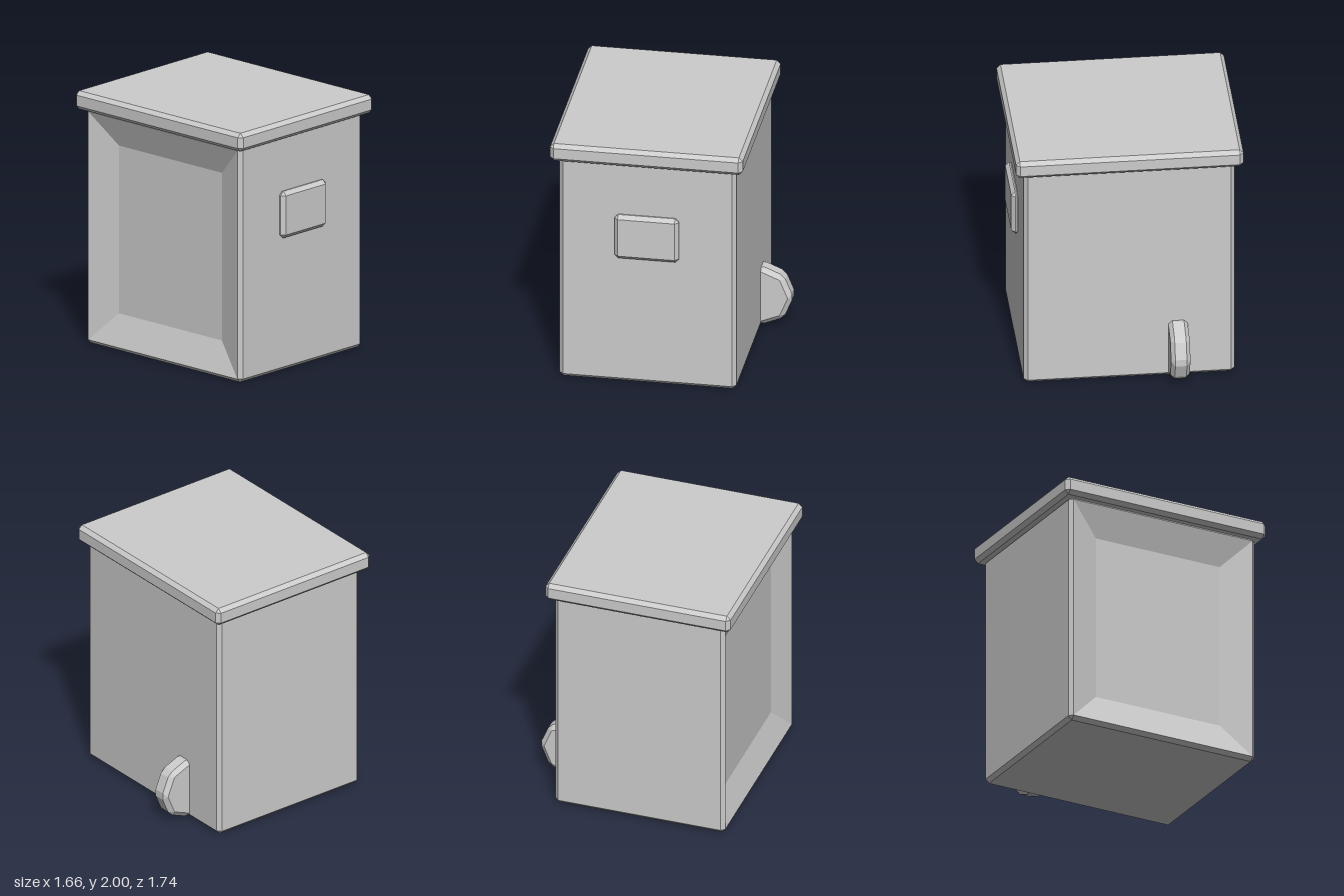
import * as THREE from 'three';
import { ConvexGeometry } from 'three/addons/geometries/ConvexGeometry.js';

const BEVEL = 0.03;

// Box with chamfered edges and corners, given by its min and max corners
function bevelledBox(min, max, b = BEVEL) {
  const points = [];
  for (const sx of [0, 1]) for (const sy of [0, 1]) for (const sz of [0, 1]) {
    const s = [sx, sy, sz];
    for (let axis = 0; axis < 3; axis++) {
      const p = s.map((side, i) => {
        const inset = i === axis ? 0 : b;
        return side ? max[i] - inset : min[i] + inset;
      });
      points.push(new THREE.Vector3(...p));
    }
  }
  return new ConvexGeometry(points);
}

// Drops the triangles lying on the plane x = value
function withoutFaceX(geometry, value) {
  const src = geometry.getAttribute('position').array;
  const kept = [];
  for (let i = 0; i < src.length; i += 9) {
    const onPlane = [0, 3, 6].every((k) => Math.abs(src[i + k] - value) < 1e-4);
    if (!onPlane) kept.push(...src.slice(i, i + 9));
  }
  return flatGeometry(kept);
}

function flatGeometry(positions) {
  const g = new THREE.BufferGeometry();
  g.setAttribute('position', new THREE.Float32BufferAttribute(positions, 3));
  g.computeVertexNormals();
  return g;
}

// Shallow tray facing -x: four sloping walls and a flat inner panel
function recess(x, depth, y0, y1, z0, z1, inset) {
  const ring = (px, d) => [
    [px, y0 + d, z0 + d], [px, y0 + d, z1 - d],
    [px, y1 - d, z1 - d], [px, y1 - d, z0 + d],
  ];
  const outer = ring(x, 0), inner = ring(x + depth, inset);
  const out = [];
  const quad = (a, b, c, d) => out.push(...a, ...b, ...c, ...a, ...c, ...d);
  for (let i = 0; i < 4; i++) {
    const j = (i + 1) % 4;
    quad(outer[i], outer[j], inner[j], inner[i]);
  }
  quad(...inner);
  return flatGeometry(out);
}

// Octagonal wheel with every edge chamfered, axis along z
function bevelledWheel(radius, halfWidth, b = BEVEL) {
  const points = [];
  const add = (r, a, z) => points.push(new THREE.Vector3(r * Math.cos(a), r * Math.sin(a), z));
  for (let i = 0; i < 8; i++) {
    const a = (i * Math.PI) / 4;
    for (const side of [-1, 1]) {
      add(radius - b, a, side * halfWidth);
      for (const turn of [-0.115, 0.115]) add(radius, a + turn, side * (halfWidth - b));
    }
  }
  return new ConvexGeometry(points);
}

export function createModel() {
  const model = new THREE.Group();
  const grey = new THREE.MeshStandardMaterial({ color: 0xcccccc });
  grey.name = 'plain grey';

  const add = (name, geometry) => {
    const mesh = new THREE.Mesh(geometry, grey);
    mesh.name = name;
    model.add(mesh);
    return mesh;
  };

  // Cabinet body, open on its -x side for the sunken panel
  const left = -0.77, top = 1.87, halfDepth = 0.807;
  const body = bevelledBox([left, 0, -halfDepth], [0.595, top, halfDepth]);
  add('body', withoutFaceX(body, left));
  add('sunkenSidePanel', recess(left, 0.085, BEVEL, top - BEVEL,
    -halfDepth + BEVEL, halfDepth - BEVEL, 0.24));

  // Overhanging lid
  add('lid', bevelledBox([-0.833, 1.855, -0.87], [0.655, 2, 0.87]));

  // Raised plate on the front
  add('frontPlate', bevelledBox([-0.34, 1.06, 0.785], [0.16, 1.43, 0.855]));

  // Wheel half sunk into the +x side
  add('sideWheel', bevelledWheel(0.241, 0.074)).position.set(0.592, 0.252, -0.372);

  return model;
}
